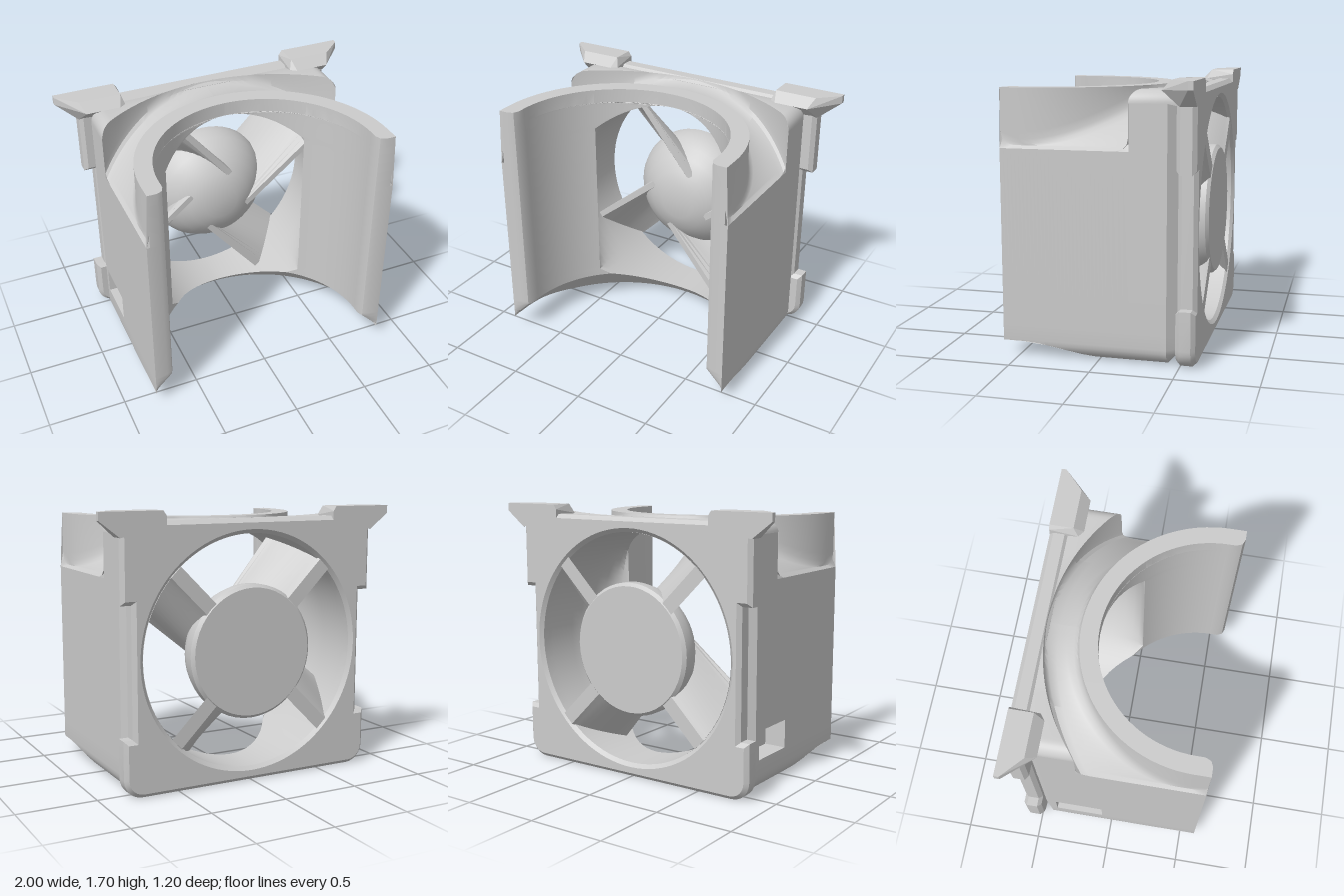
import * as THREE from 'three';
import { toCreasedNormals } from 'three/addons/utils/BufferGeometryUtils.js';
import { ConvexGeometry } from 'three/addons/geometries/ConvexGeometry.js';

const mat = new THREE.MeshStandardMaterial({ color: 0xcccccc, side: THREE.DoubleSide });
const { sin, cos, sqrt, asin, min, max, abs, PI } = Math;
const range = (n, f) => Array.from({ length: n + 1 }, (_, i) => f(i / n));
const W = 0.81, TOP = 1.64, CZ = 0.5, RI = 0.68, RO = 0.79, FY = 0.82, FR = 0.73;

// Surface through rows of [x, y, z] points; skip leaves quads out
function grid(rows, skip = () => false) {
  const n = rows[0].length, idx = [];
  for (let i = 0; i < rows.length - 1; i++) for (let j = 0; j < n - 1; j++) {
    if (skip(i, j)) continue;
    const a = i * n + j, b = a + n;
    idx.push(a, b, a + 1, b, b + 1, a + 1);
  }
  const g = new THREE.BufferGeometry();
  g.setAttribute('position', new THREE.Float32BufferAttribute(rows.flat(2), 3));
  g.setIndex(idx);
  return toCreasedNormals(g, 0.6);
}

// Shared rules of the shape
const cavityR = y => RI + max(0, 0.22 - y);                    // vertical cavity, flared at the foot
const outerX = y => y > 1.28 ? RO : y < 0.1 ? 0.71 + sqrt(max(0, 0.01 - (0.1 - y) ** 2)) : W;
const holeX = y => min(0.48, sqrt(max(0, FR * FR - (y - FY) ** 2)));
const domeY = x => 0.415 + sqrt(1.404 - x * x);                // floor of the channel behind the collar
const channelZ = x => 0.71 - sqrt(1.464 - x * x);              // rear wall of the channel
const blockY = x => TOP - 0.08 + sqrt(max(0, 0.0064 - max(0, abs(x) - 0.73) ** 2));

// Concave inner wall with the fan opening, ending in the rounded front edge
function innerHalf(s) {
  const ys = [...range(6, t => 0.09 * t), ...range(48, t => FY - FR * cos(PI * t)),
    0.22, 1.28, 1.281, TOP].sort((a, b) => a - b);
  return grid(ys.map(y => {
    const r = cavityR(y), X = outerX(y), a = asin(min(1, holeX(y) / r)), b = asin(min(1, X / r));
    const row = range(24, t => {
      const q = a + (b - a) * t;
      return [s * r * sin(q), y, CZ - r * cos(q)];
    });
    const end = row[24];
    for (const [dx, z] of [[0, 0.55], [0.015, 0.585], [0.05, 0.6], [1, 0.6]])
      row.push(r < X ? [s * min(r + dx, X), y, z] : end);
    return row;
  }));
}

// Outer side and underside, trimmed where the flared cavity cuts through
function skinRow(s, z, top, inset = 0) {
  const path = [[W, top], [W, 0.38], [W, 0.2],
    ...range(6, t => [0.71 + 0.1 * cos(t * PI / 2), 0.1 - 0.1 * sin(t * PI / 2)]),
    ...range(8, t => [0.71 * (1 - t), 0]).slice(1)]
    .map(([x, y]) => [max(0, x - inset), max(y, inset)]);
  const inside = ([x, y]) => Math.hypot(x, max(0, CZ - z)) < cavityR(y);
  const k = path.findIndex(inside);
  if (k > 0) {
    let a = path[k - 1], b = path[k];
    for (let i = 0; i < 24; i++) {
      const m = [(a[0] + b[0]) / 2, (a[1] + b[1]) / 2];
      if (inside(m)) b = m; else a = m;
    }
    path.fill(a, k);
  }
  return path.map(([x, y]) => [s * x, y, z]);
}

function sideSkin(s) {
  const zs = [-0.42, -0.38, ...range(6, t => -0.37 + t * 0.178),
    ...range(4, t => -0.191 + t * 0.131), ...range(28, t => -0.055 + t * 0.655)];
  const rows = [skinRow(s, -0.48, 1.56, 0.06), ...zs.map(z => skinRow(s, z, z < -0.1915 ? 1.56 : 1.28))];
  // the right side has a small rectangular slot
  return grid(rows, (i, j) => s < 0 && j === 1 && rows[i][0][2] > -0.39 && rows[i + 1][0][2] < -0.059);
}

// Collar outside, filleted channel and its rear wall
function channelHalf(s) {
  const cols = range(24, t => [RO * sin(t * PI / 2), CZ - RO * cos(t * PI / 2)]);
  cols.push([RO, 0.6], [W, 0.6]);
  return grid(cols.map(([x, z]) => {
    const d = domeY(x), f = min(0.08, TOP - d), c = channelZ(x), edge = x === W;
    const g = edge ? 0 : f, rear = blockY(x);
    const side = [[z, edge ? d : TOP], [z, d + g], [z - 0.012, d + g * 0.45],
      [z - 0.035, d + g * 0.15], [z - 0.08, d]];
    const back = [[c + 0.08, d], [c + 0.03, d + f * 0.2], [c + 0.008, d + f * 0.5], [c, min(rear, d + f)], [c, rear]];
    return [...side, ...back].map(([pz, y]) => [s * x, y, pz]);
  }));
}

// Flat rim on top of the collar
function collarRim(s) {
  const rows = range(24, t => [RI, RO].map(r => [s * r * sin(t * PI / 2), TOP, CZ - r * cos(t * PI / 2)]));
  for (const [x, z] of [[RI, 0.55], [RI + 0.015, 0.585], [RI + 0.05, 0.6]])
    rows.push([[s * x, TOP, z], [s * RO, TOP, z]]);
  return grid(rows);
}

// Top of the block behind the channel
const blockTop = () => grid(range(60, t => W * sin((t - 0.5) * PI)).map(x =>
  [[x, blockY(x), channelZ(x)], [x, blockY(x), min(-0.42, channelZ(x))], [x * 0.96, blockY(x) - 0.02, -0.5]]));

// Round duct that narrows to the opening in the cavity
const duct = () => grid(range(96, t => {
  const x = FR * cos(t * 2 * PI), y = FY + FR * sin(t * 2 * PI);
  const ex = max(-0.48, min(0.48, x)), ez = CZ - sqrt(cavityR(y) ** 2 - ex * ex), mid = min(-0.3, ez);
  return [[x, y, -0.58], [x, y, mid], ...range(6, u =>
    [x + (ex - x) * (1 - cos(u * PI / 2)), y, mid + (ez - mid) * sin(u * PI / 2)]).slice(1)];
}));

// Rear mounting plate with notched sides and a round hole
function plate() {
  const half = [[0.86, 0.36], [0.8, 0.36], [0.8, 1.16], [0.87, 1.16], [0.87, TOP]];
  const right = [...range(6, t => [0.74 + 0.12 * sin(t * PI / 2), 0.12 - 0.12 * cos(t * PI / 2)]), ...half];
  const pts = [...right, ...right.map(([x, y]) => [-x, y]).reverse()];
  const shape = new THREE.Shape(pts.map(p => new THREE.Vector2(...p)));
  shape.holes.push(new THREE.Path().absarc(0, FY, FR, 0, PI * 2, true));
  const g = new THREE.ExtrudeGeometry(shape, { depth: 0.07, bevelThickness: 0.025, bevelSize: 0.025,
    bevelOffset: -0.025, bevelSegments: 1, curveSegments: 48 });
  return toCreasedNormals(g.translate(0, 0, -0.575), 0.4);
}

// Clip wing at an upper corner of the plate
const wing = s => new ConvexGeometry([
  [0.6, 1.7, -0.6], [1, 1.7, -0.6], [1, 1.7, -0.57], [0.87, 1.7, -0.45], [0.6, 1.7, -0.45],
  [0.58, 1.67, -0.6], [0.58, 1.64, -0.42], [0.62, 1.64, -0.39], [0.84, 1.64, -0.39],
  [1, 1.65, -0.6], [1, 1.65, -0.57], [0.58, 1.6, -0.6], [0.87, 1.55, -0.6], [0.87, 1.55, -0.5],
  [0.75, 1.56, -0.48], [0.6, 1.6, -0.43]].map(([x, y, z]) => new THREE.Vector3(s * x, y, z)));

// Domed hub with a flat nose
function hub() {
  const pts = [[0, -0.6], [0.4, -0.6], [0.42, -0.58], [0.42, -0.52], [0.4, -0.46], [0.36, -0.4],
    [0.3, -0.34], [0.215, -0.283], [0.12, -0.25], [0, -0.25]];
  const g = new THREE.LatheGeometry(pts.map(p => new THREE.Vector2(...p)), 48);
  return toCreasedNormals(g.rotateX(PI / 2).translate(0, FY, 0), 0.4);
}

// Swept vane from a rear spoke to a thin leading edge
function vane() {
  const rad = PI / 180;
  const rows = range(12, t => {
    const at = (r, deg) => new THREE.Vector2(r * cos(deg * rad), r * sin(deg * rad));
    const a = at(0.4 - 0.185 * t, 135 - 67 * t), b = at(0.735 - 0.01 * t, 135 - 21 * t);
    const d = b.clone().sub(a).normalize(), h = 0.045 - 0.025 * t, nx = -d.y * h, ny = d.x * h;
    const z = -0.595 + 0.315 * t;
    return [[a, 1], [b, 1], [b, -1], [a, -1], [a, 1]].map(([p, k]) => [p.x + k * nx, p.y + k * ny, z]);
  });
  const cap = r => { const m = [0, 1, 1, 0, 0]; return m.map(i => r[i].map((v, k) => (v + r[3 - i][k]) / 2)); };
  return grid([cap(rows[0]), ...rows, cap(rows[12])]);
}

// Open-sided pocket behind the slot
function slotPocket() {
  const g = new THREE.BoxGeometry(0.14, 0.18, 0.32);
  g.setIndex([...g.index.array].filter((_, i) => i < 6 || i > 11));
  return g.translate(-W + 0.07, 0.29, -0.22);
}

export function createModel() {
  const model = new THREE.Group();
  model.name = 'fanShroud';
  const add = (name, geo) => {
    const m = new THREE.Mesh(geo, mat);
    m.name = name;
    model.add(m);
    return m;
  };
  for (const [side, s] of [['left', 1], ['right', -1]]) {
    add(side + 'InnerWall', innerHalf(s));
    add(side + 'OuterWall', sideSkin(s));
    add(side + 'Channel', channelHalf(s));
    add(side + 'CollarRim', collarRim(s));
    add(side + 'Wing', wing(s));
  }
  add('blockTop', blockTop());
  add('duct', duct());
  add('rearPlate', plate());
  add('slotPocket', slotPocket());
  add('hub', hub());
  const vaneGeo = vane();
  for (let i = 0; i < 4; i++) {
    const v = add('vane' + (i + 1), vaneGeo);
    v.position.y = FY;
    v.rotation.z = i * PI / 2;
  }
  return model;
}
